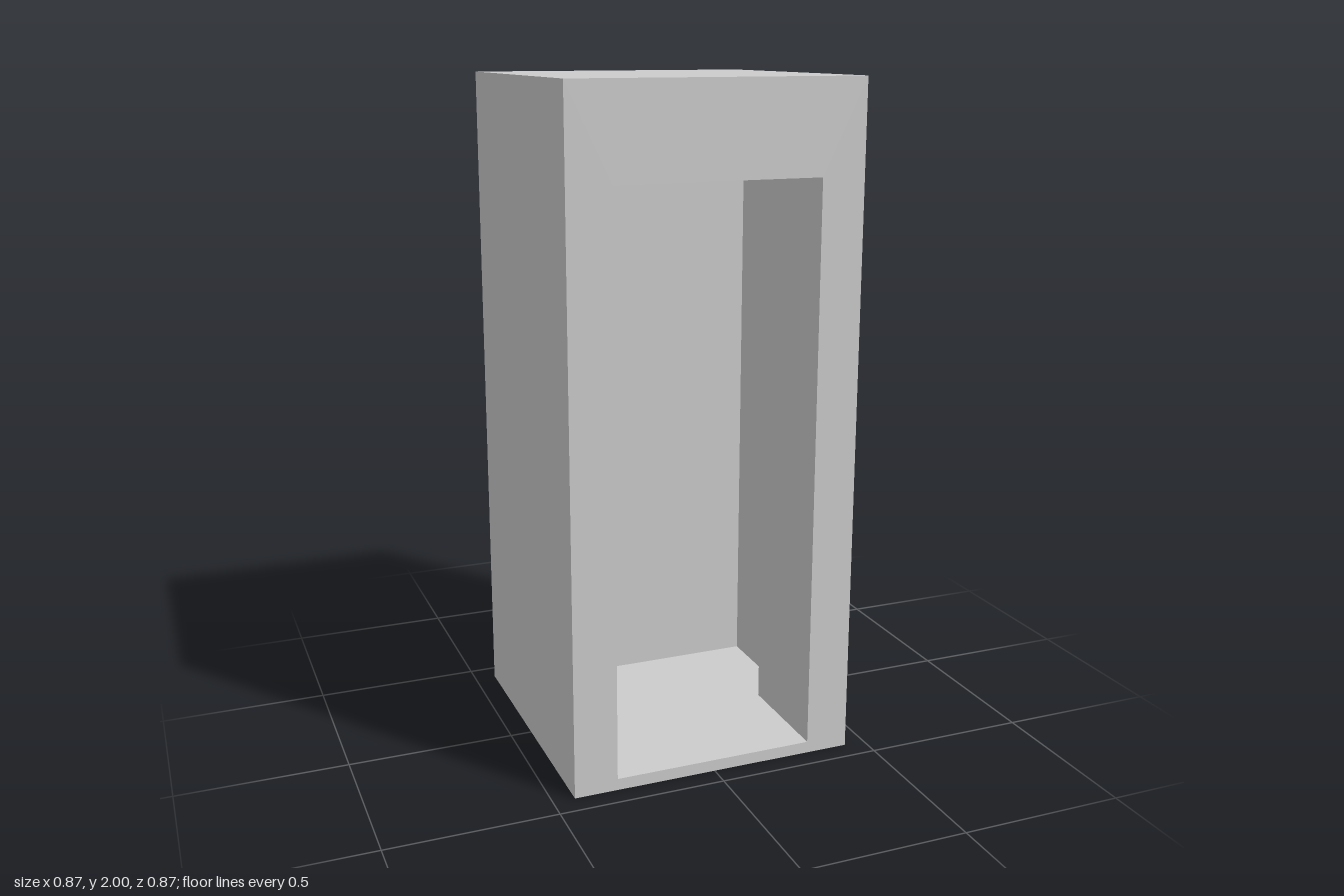
import * as THREE from 'three';

const HALF = 0.435, HEIGHT = 2, FLOOR = 0.035;

// Corners of an upright rectangle, counter-clockwise seen from the front
const rect = (halfWidth, bottom, top, z) => [
  [-halfWidth, bottom, z], [halfWidth, bottom, z],
  [halfWidth, top, z], [-halfWidth, top, z],
];

// Joins successive rectangles with flat walls; optionally closes either end
function skin(sections, capStart = false, capEnd = false) {
  const positions = [];
  const triangle = (...corners) => {
    const [a, b, c] = corners.map((p) => new THREE.Vector3(...p));
    if (new THREE.Triangle(a, b, c).getArea() > 1e-7) positions.push(...corners.flat());
  };
  const quad = (a, b, c, d) => { triangle(a, b, c); triangle(a, c, d); };
  for (let s = 0; s + 1 < sections.length; s++) {
    const a = sections[s], b = sections[s + 1];
    for (let i = 0; i < 4; i++) {
      const j = (i + 1) % 4;
      quad(a[i], a[j], b[j], b[i]);
    }
  }
  if (capStart) quad(...[...sections[0]].reverse());
  if (capEnd) quad(...sections[sections.length - 1]);
  const geometry = new THREE.BufferGeometry();
  geometry.setAttribute('position', new THREE.Float32BufferAttribute(positions, 3));
  geometry.computeVertexNormals();
  return geometry;
}

export function createModel() {
  const group = new THREE.Group();
  group.name = 'booth';
  const material = new THREE.MeshStandardMaterial({ color: 0xcccccc, flatShading: true });
  const add = (name, geometry) => {
    const mesh = new THREE.Mesh(geometry, material);
    mesh.name = name;
    group.add(mesh);
  };

  const outerBack = rect(HALF, 0, HEIGHT, -HALF);
  const outerFront = rect(HALF, 0, HEIGHT, HALF);
  const openingFront = rect(0.305, FLOOR, 1.73, HALF);
  const openingBack = rect(0.305, FLOOR, 1.73, 0.09);
  const chamberFront = rect(0.4, FLOOR, HEIGHT - FLOOR, 0.09);
  const chamberBack = rect(0.4, FLOOR, HEIGHT - FLOOR, -0.285);

  // Outer walls, roof, base and the front face around the doorway
  add('outerShell', skin([outerBack, outerFront, openingFront], true));
  // Deep jambs, lintel and sill
  add('doorway', skin([openingFront, openingBack]));
  // Wider room behind the doorway, closed by its back wall
  add('chamber', skin([openingBack, chamberFront, chamberBack], false, true));

  return group;
}
